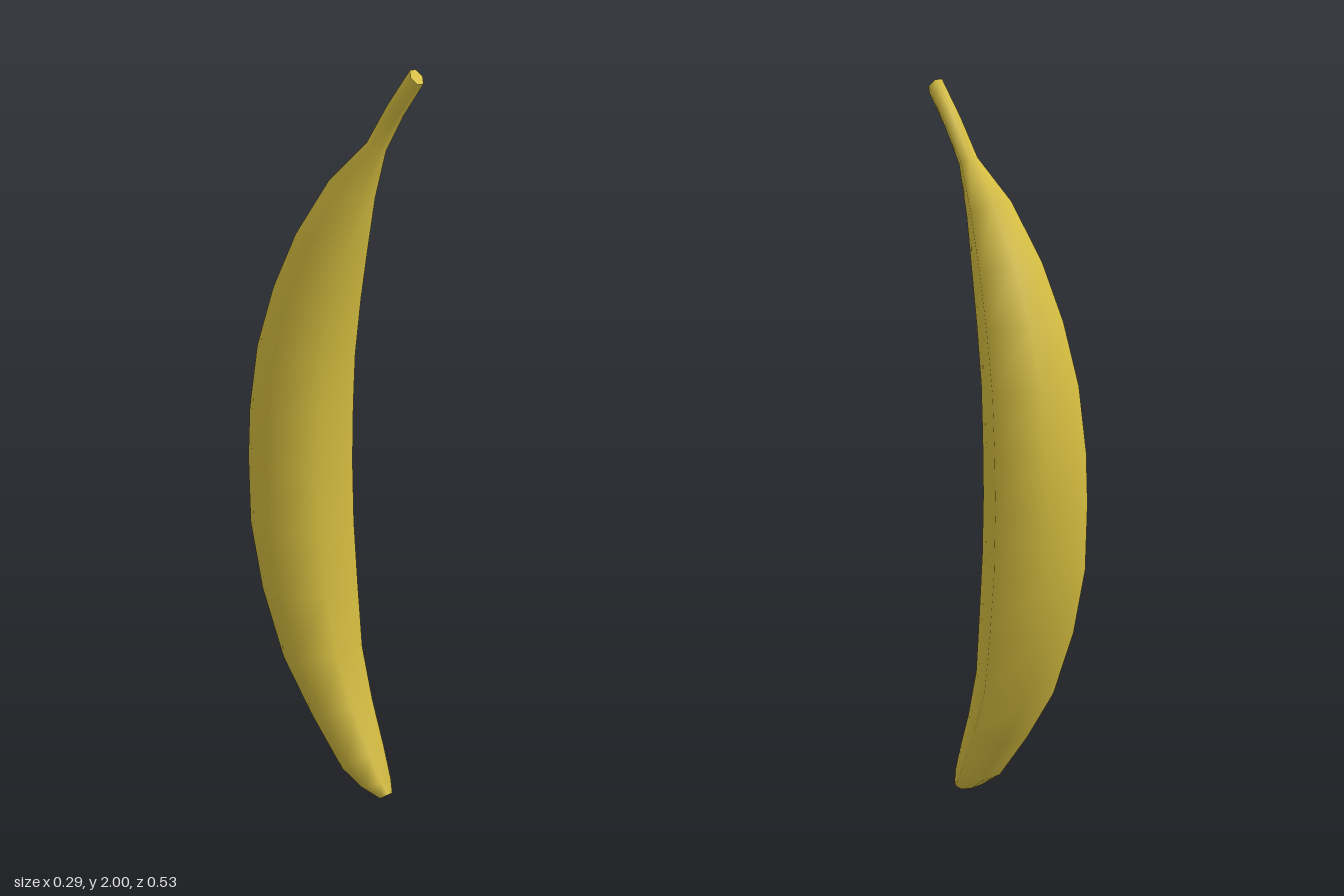
import * as THREE from 'three';

const SIDES = 6;

// Cross-sections from bottom to stem end: [front z, front y, back z, back y]
const SECTIONS = [
  [0.178, 0.02, 0.15, 0.002],
  [0.163, 0.055, 0.095, 0.025],
  [0.13, 0.135, 0.035, 0.07],
  [0.08, 0.26, -0.065, 0.21],
  [0.035, 0.4, -0.155, 0.36],
  [0.01, 0.575, -0.22, 0.55],
  [-0.008, 0.75, -0.257, 0.735],
  [-0.013, 0.92, -0.263, 0.92],
  [-0.01, 1.08, -0.257, 1.06],
  [0.0, 1.22, -0.232, 1.235],
  [0.025, 1.375, -0.18, 1.4],
  [0.055, 1.51, -0.11, 1.55],
  [0.093, 1.655, -0.01, 1.7],
  [0.143, 1.785, 0.1, 1.805],
  [0.2, 1.88, 0.165, 1.905],
  [0.263, 1.965, 0.238, 2.0],
];

// Hexagonal ring whose flat sides touch the front and back points
function ring([zf, yf, zb, yb]) {
  const flat = Math.sin(Math.PI / 3);
  const uz = (zf - zb) / 2 / flat, uy = (yf - yb) / 2 / flat;
  const r = Math.hypot(uz, uy);
  return Array.from({ length: SIDES }, (_, j) => {
    const a = (j / SIDES) * Math.PI * 2;
    return [
      r * Math.cos(a),
      (yf + yb) / 2 + uy * Math.sin(a),
      (zf + zb) / 2 + uz * Math.sin(a),
    ];
  });
}

function makeGeometry(points, index) {
  const g = new THREE.BufferGeometry();
  g.setAttribute('position', new THREE.Float32BufferAttribute(points.flat(), 3));
  g.setIndex(index);
  g.computeVertexNormals();
  return g;
}

// Smooth skin joining the rings
function skin(rings) {
  const index = [];
  for (let i = 0; i < rings.length - 1; i++) {
    for (let j = 0; j < SIDES; j++) {
      const a = i * SIDES + j, b = i * SIDES + ((j + 1) % SIDES);
      index.push(a, a + SIDES, b, b, a + SIDES, b + SIDES);
    }
  }
  return makeGeometry(rings.flat(), index);
}

// Flat end closing one ring
function cap(points, facesUp) {
  const index = [];
  for (let j = 1; j < SIDES - 1; j++) {
    index.push(0, ...(facesUp ? [j + 1, j] : [j, j + 1]));
  }
  return makeGeometry(points, index);
}

export function createModel() {
  const peel = new THREE.MeshStandardMaterial({ color: 0xd6be40 });
  peel.name = 'yellow peel';
  const dark = new THREE.MeshStandardMaterial({ color: 0x2a1816 });
  dark.name = 'dark brown tip';

  const group = new THREE.Group();
  group.name = 'banana';
  const add = (name, geometry, material) => {
    const mesh = new THREE.Mesh(geometry, material);
    mesh.name = name;
    group.add(mesh);
  };

  const rings = SECTIONS.map(ring);
  add('peelAndStem', skin(rings), peel);
  add('stemEnd', cap(rings[rings.length - 1], true), peel);
  add('bottomTip', cap(rings[0], false), dark);
  return group;
}
